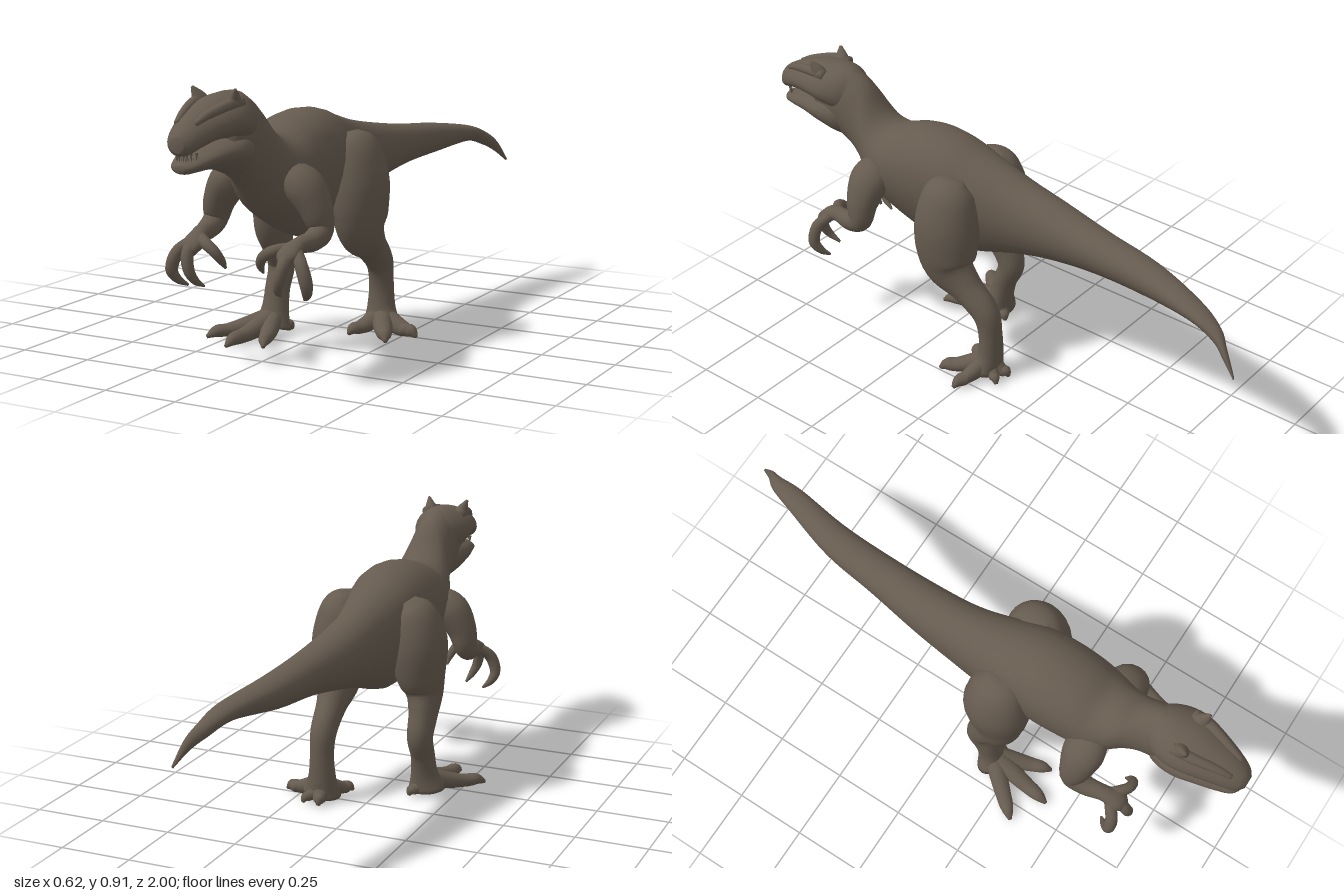
import * as THREE from 'three';

const hide = new THREE.MeshStandardMaterial({ color: 0x665b4f });
hide.name = 'brownHide';
const MID = 0.02; // the body sits slightly left of centre

// Closed smooth skin through rings of equal size, each running counter-clockwise round the path
function skin(rings) {
  const n = rings[0].length, pos = [], idx = [];
  const centre = (r) => r.reduce((s, p) => s.add(p), new THREE.Vector3()).divideScalar(n);
  const all = [Array(n).fill(centre(rings[0])), ...rings, Array(n).fill(centre(rings.at(-1)))];
  all.forEach((r) => r.forEach((p) => pos.push(p.x, p.y, p.z)));
  for (let i = 0; i < all.length - 1; i++) {
    for (let j = 0; j < n; j++) {
      const a = i * n + j, b = i * n + (j + 1) % n;
      if (i < all.length - 2) idx.push(a, b + n, a + n);
      if (i > 0) idx.push(a, b, b + n);
    }
  }
  const g = new THREE.BufferGeometry();
  g.setAttribute('position', new THREE.Float32BufferAttribute(pos, 3));
  g.setIndex(idx);
  g.computeVertexNormals();
  return g;
}

const spline = (pts) => new THREE.CatmullRomCurve3(pts.map((p) => new THREE.Vector3(...p)), false, 'catmullrom');

// Upright egg-shaped sections along z: [z, centre x, half width, top, bottom, lower taper]
function hull(st, n = 28, sub = 5) {
  const A = spline(st.map((s) => [s[0], s[3], s[4]]));
  const B = spline(st.map((s) => [s[1], s[2], s[5] ?? 0.1]));
  const rings = [], steps = (st.length - 1) * sub;
  for (let i = 0; i <= steps; i++) {
    const a = A.getPoint(i / steps), b = B.getPoint(i / steps), ring = [];
    for (let j = 0; j < n; j++) {
      const t = (j / n) * Math.PI * 2, s = Math.sin(t);
      ring.push(new THREE.Vector3(b.x + b.y * Math.cos(t) * (1 + b.z * s), (a.y + a.z) / 2 + (a.y - a.z) / 2 * s, a.x));
    }
    rings.push(ring);
  }
  return skin(rings);
}

// Limb with oval sections along a path: [x, y, z, half width, half depth]
function limb(st, n = 16, sub = 5) {
  const C = spline(st.map((s) => s.slice(0, 3)));
  const R = spline(st.map((s) => [s[3], s[4] ?? s[3], 0]));
  const rings = [], steps = (st.length - 1) * sub;
  for (let i = 0; i <= steps; i++) {
    const t = i / steps, c = C.getPoint(t), r = R.getPoint(t), T = C.getTangent(t);
    const side = new THREE.Vector3(1, 0, 0).addScaledVector(T, -T.x).normalize();
    const up = new THREE.Vector3().crossVectors(T, side);
    const ring = [];
    for (let j = 0; j < n; j++) {
      const a = (j / n) * Math.PI * 2;
      const p = c.clone().addScaledVector(side, r.x * Math.cos(a)).addScaledVector(up, r.y * Math.sin(a));
      p.y = Math.max(p.y, 0.008); // flat soles
      ring.push(p);
    }
    rings.push(ring);
  }
  return skin(rings);
}

// Mirror path points across the body's middle for the left side
const flip = (st, s) => st.map(([x, ...r]) => [s < 0 ? x : 2 * MID - x, ...r]);

export function createModel() {
  const model = new THREE.Group();
  model.name = 'dinosaur';
  const add = (name, geo, parent = model) => {
    const m = new THREE.Mesh(geo, hide);
    m.name = name;
    parent.add(m);
    return m;
  };
  const group = (name) => {
    const g = new THREE.Group();
    g.name = name;
    model.add(g);
    return g;
  };

  // Tail, trunk and neck in one skin
  add('body', hull([
    [-1, 0.183, 0.004, 0.465, 0.455],
    [-0.95, 0.16, 0.014, 0.535, 0.495],
    [-0.9, 0.132, 0.026, 0.575, 0.525],
    [-0.8, 0.105, 0.041, 0.61, 0.55],
    [-0.6, 0.055, 0.058, 0.64, 0.53],
    [-0.4, 0.033, 0.068, 0.66, 0.515],
    [-0.2, 0.015, 0.084, 0.69, 0.48],
    [-0.05, 0.01, 0.097, 0.72, 0.44],
    [0.1, 0.015, 0.12, 0.76, 0.39, 0.2],
    [0.2, MID, 0.135, 0.79, 0.37, 0.25],
    [0.3, MID, 0.142, 0.797, 0.38, 0.25],
    [0.4, MID, 0.14, 0.78, 0.415, 0.2],
    [0.48, MID, 0.133, 0.752, 0.46, 0.1],
    [0.54, MID, 0.112, 0.775, 0.5, 0],
    [0.6, MID, 0.086, 0.85, 0.56, -0.05],
    [0.65, MID, 0.08, 0.885, 0.605, 0],
    [0.7, MID, 0.08, 0.9, 0.635, 0],
    [0.8, MID, 0.07, 0.87, 0.69, 0],
  ]));

  // Head: skull, lower jaw, brow ridges, horns and teeth
  const head = group('head');
  add('skull', hull([
    [0.64, MID, 0.05, 0.875, 0.74, 0],
    [0.69, MID, 0.084, 0.9, 0.74, -0.1],
    [0.75, MID, 0.102, 0.9, 0.755, -0.15],
    [0.81, MID, 0.098, 0.892, 0.768, -0.2],
    [0.88, MID, 0.08, 0.87, 0.765, -0.2],
    [0.94, MID, 0.062, 0.845, 0.75, -0.15],
    [0.98, MID, 0.045, 0.82, 0.738, -0.1],
    [1, MID, 0.022, 0.795, 0.75, 0],
  ]), head);
  add('lowerJaw', hull([
    [0.66, MID, 0.05, 0.78, 0.65, 0],
    [0.71, MID, 0.085, 0.785, 0.645, 0.1],
    [0.78, MID, 0.096, 0.778, 0.668, 0.15],
    [0.86, MID, 0.08, 0.762, 0.683, 0.15],
    [0.93, MID, 0.058, 0.738, 0.684, 0.1],
    [0.97, MID, 0.04, 0.722, 0.684, 0.1],
    [0.988, MID, 0.018, 0.712, 0.692, 0],
  ]), head);
  for (const s of [-1, 1]) {
    add('browHorn', limb(flip([
      [-0.03, 0.85, 0.77, 0.032, 0.036],
      [-0.042, 0.885, 0.785, 0.02, 0.026],
      [-0.055, 0.918, 0.8, 0.004, 0.005],
    ], s), 12), head);
    add('browRidge', limb(flip([
      [-0.045, 0.875, 0.75, 0.018],
      [-0.04, 0.87, 0.82, 0.018],
      [-0.022, 0.85, 0.9, 0.014],
      [-0.012, 0.83, 0.95, 0.008],
    ], s), 12), head);
    for (let i = 0; i < 4; i++) {
      const x = MID + s * (0.007 + i * 0.009), z = 0.975 - i * i * 0.003;
      const upper = add('upperTooth', new THREE.ConeGeometry(0.005, 0.03, 8), head);
      upper.position.set(x, 0.733, z);
      upper.rotation.x = Math.PI;
      add('lowerTooth', new THREE.ConeGeometry(0.004, 0.022, 8), head).position.set(x, 0.724, z - 0.01);
    }
  }

  // Arms with three hooked fingers
  for (const s of [-1, 1]) {
    const arm = group(s < 0 ? 'rightArm' : 'leftArm');
    add('armLimb', limb(flip([
      [-0.06, 0.62, 0.49, 0.05, 0.06],
      [-0.115, 0.585, 0.495, 0.062, 0.072],
      [-0.155, 0.52, 0.495, 0.052, 0.058],
      [-0.172, 0.455, 0.495, 0.04, 0.042],
      [-0.17, 0.43, 0.545, 0.034, 0.034],
      [-0.158, 0.425, 0.61, 0.028, 0.026],
      [-0.15, 0.405, 0.66, 0.038, 0.024],
      [-0.148, 0.38, 0.685, 0.02, 0.015],
    ], s)), arm);
    [
      [[-0.165, 0.415, 0.635, 0.018], [-0.203, 0.375, 0.67, 0.021], [-0.222, 0.32, 0.675, 0.02], [-0.212, 0.285, 0.655, 0.014], [-0.19, 0.264, 0.63, 0.004]],
      [[-0.15, 0.415, 0.645, 0.018], [-0.152, 0.38, 0.69, 0.02], [-0.142, 0.33, 0.7, 0.018], [-0.128, 0.295, 0.685, 0.013], [-0.118, 0.272, 0.65, 0.004]],
      [[-0.14, 0.42, 0.63, 0.018], [-0.1, 0.412, 0.665, 0.019], [-0.066, 0.39, 0.67, 0.017], [-0.05, 0.36, 0.655, 0.013], [-0.048, 0.334, 0.635, 0.004]],
    ].forEach((f) => add('finger', limb(flip(f, s), 10), arm));
  }

  // Legs in mid-stride: the right one forward, the left one back
  const rightLeg = group('rightLeg'), leftLeg = group('leftLeg');
  add('legLimb', limb([
    [-0.085, 0.705, 0.155, 0.025, 0.04],
    [-0.1, 0.66, 0.158, 0.08, 0.09],
    [-0.12, 0.56, 0.163, 0.1, 0.116],
    [-0.13, 0.46, 0.168, 0.086, 0.108],
    [-0.142, 0.38, 0.175, 0.064, 0.082],
    [-0.15, 0.31, 0.145, 0.05, 0.06],
    [-0.15, 0.235, 0.118, 0.045, 0.048],
    [-0.15, 0.16, 0.145, 0.042, 0.042],
    [-0.15, 0.09, 0.162, 0.048, 0.042],
    [-0.155, 0.03, 0.175, 0.068, 0.05],
  ], 24), rightLeg);
  add('legLimb', limb([
    [0.125, 0.71, 0.145, 0.025, 0.04],
    [0.14, 0.665, 0.147, 0.08, 0.09],
    [0.155, 0.56, 0.148, 0.1, 0.115],
    [0.165, 0.46, 0.148, 0.088, 0.115],
    [0.165, 0.39, 0.135, 0.072, 0.095],
    [0.16, 0.325, 0.065, 0.052, 0.06],
    [0.155, 0.255, -0.01, 0.045, 0.05],
    [0.153, 0.175, -0.03, 0.042, 0.04],
    [0.153, 0.09, -0.03, 0.05, 0.042],
    [0.16, 0.03, -0.02, 0.07, 0.05],
  ], 24), leftLeg);

  // Toes spread from each ankle, with short spurs at the heel
  const toes = (leg, ankle, tips) => tips.forEach(([x, z, r]) => {
    const at = (t, y, w, h) => [ankle[0] + (x - ankle[0]) * t, y, ankle[1] + (z - ankle[1]) * t, w, h];
    add('toe', limb([
      at(0, 0.075, r * 1.2, r), at(0.35, 0.045, r * 1.2, r * 1.1), at(0.65, 0.032, r, r * 0.85),
      at(0.85, 0.03, r * 0.8, r * 0.75), at(1, 0.014, 0.006, 0.006),
    ], 12), leg);
  });
  toes(rightLeg, [-0.15, 0.17], [[-0.308, 0.345, 0.027], [-0.188, 0.418, 0.028], [-0.075, 0.37, 0.026], [-0.11, 0.115, 0.022]]);
  toes(leftLeg, [0.155, -0.025], [[0.306, 0.012, 0.027], [0.245, 0.12, 0.028], [0.09, 0.09, 0.026], [0.137, -0.098, 0.024], [0.2, -0.092, 0.02]]);

  return model;
}
